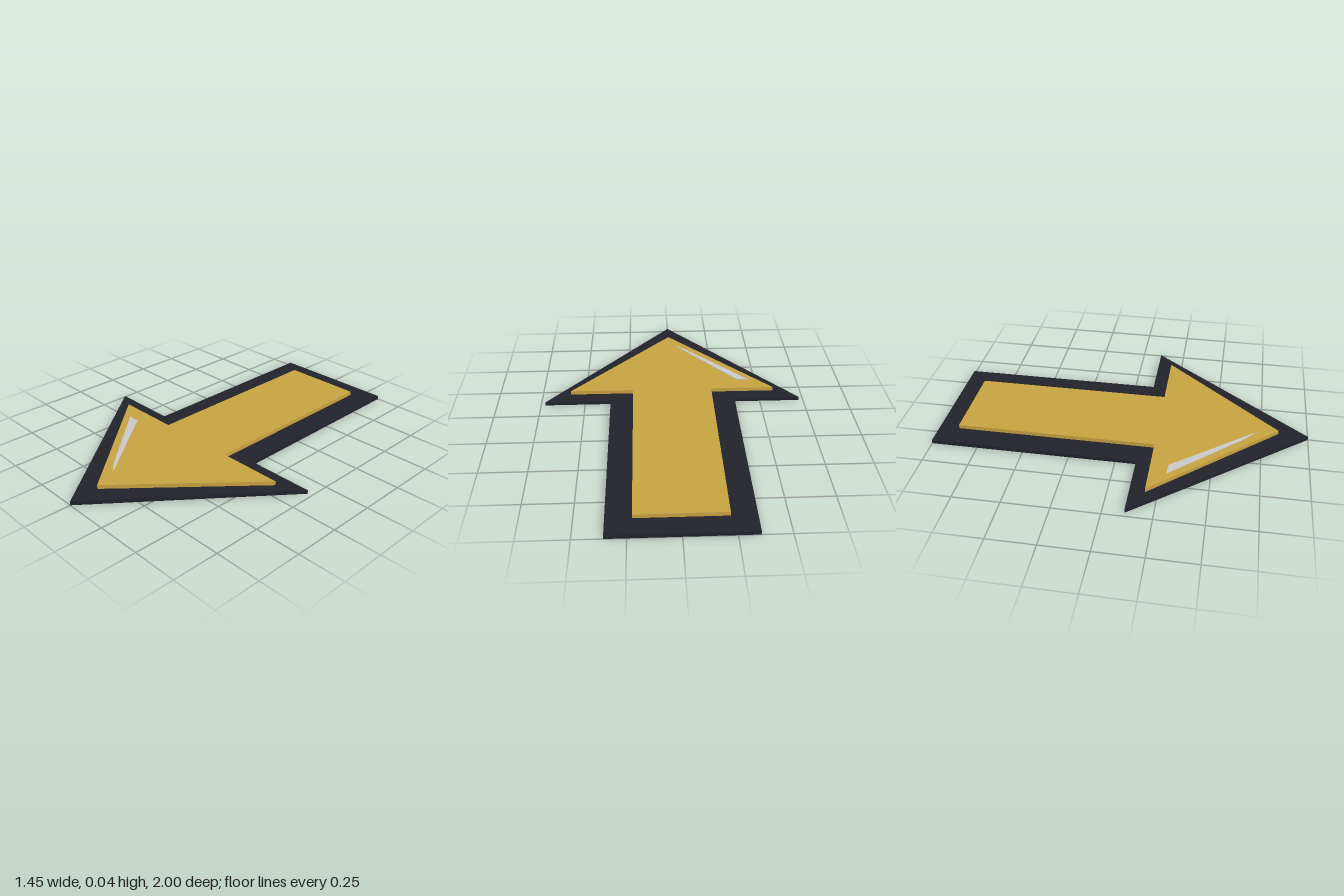
import * as THREE from 'three';

const material = (name, color) => {
  const m = new THREE.MeshStandardMaterial({ color });
  m.name = name;
  return m;
};

// Flat plate cut from an outline of [x, z] points, lying between two heights
function plate(name, outline, bottom, top, mat) {
  const shape = new THREE.Shape(outline.map(([x, z]) => new THREE.Vector2(x, -z)));
  const geometry = new THREE.ExtrudeGeometry(shape, { depth: top - bottom, bevelEnabled: false });
  geometry.rotateX(-Math.PI / 2).translate(0, bottom, 0);
  const mesh = new THREE.Mesh(geometry, mat);
  mesh.name = name;
  return mesh;
}

// Mirrored arrow outline pointing to +z
function arrow(shaftX, backZ, headX, headZ, tipZ) {
  const half = [[shaftX, backZ], [shaftX, headZ], [headX, headZ]];
  return [...half, [0, tipZ], ...half.map(([x, z]) => [-x, z]).reverse()];
}

export function createModel() {
  const dark = material('dark navy', 0x22222c);
  const gold = material('gold', 0xc8a341);
  const pale = material('pale grey', 0xcacaca);

  const model = new THREE.Group();
  model.name = 'arrow';
  model.add(
    plate('base', arrow(0.354, -1, 0.725, 0.111, 1), 0, 0.02, dark),
    plate('raisedArrow', arrow(0.226, -0.89, 0.585, 0.19, 0.84), 0.02, 0.042, gold),
    // Thin glint along the right edge of the head
    plate('glint', [[-0.455, 0.28], [-0.385, 0.284], [-0.03, 0.725], [-0.11, 0.655]], 0.042, 0.044, pale),
  );
  return model;
}
